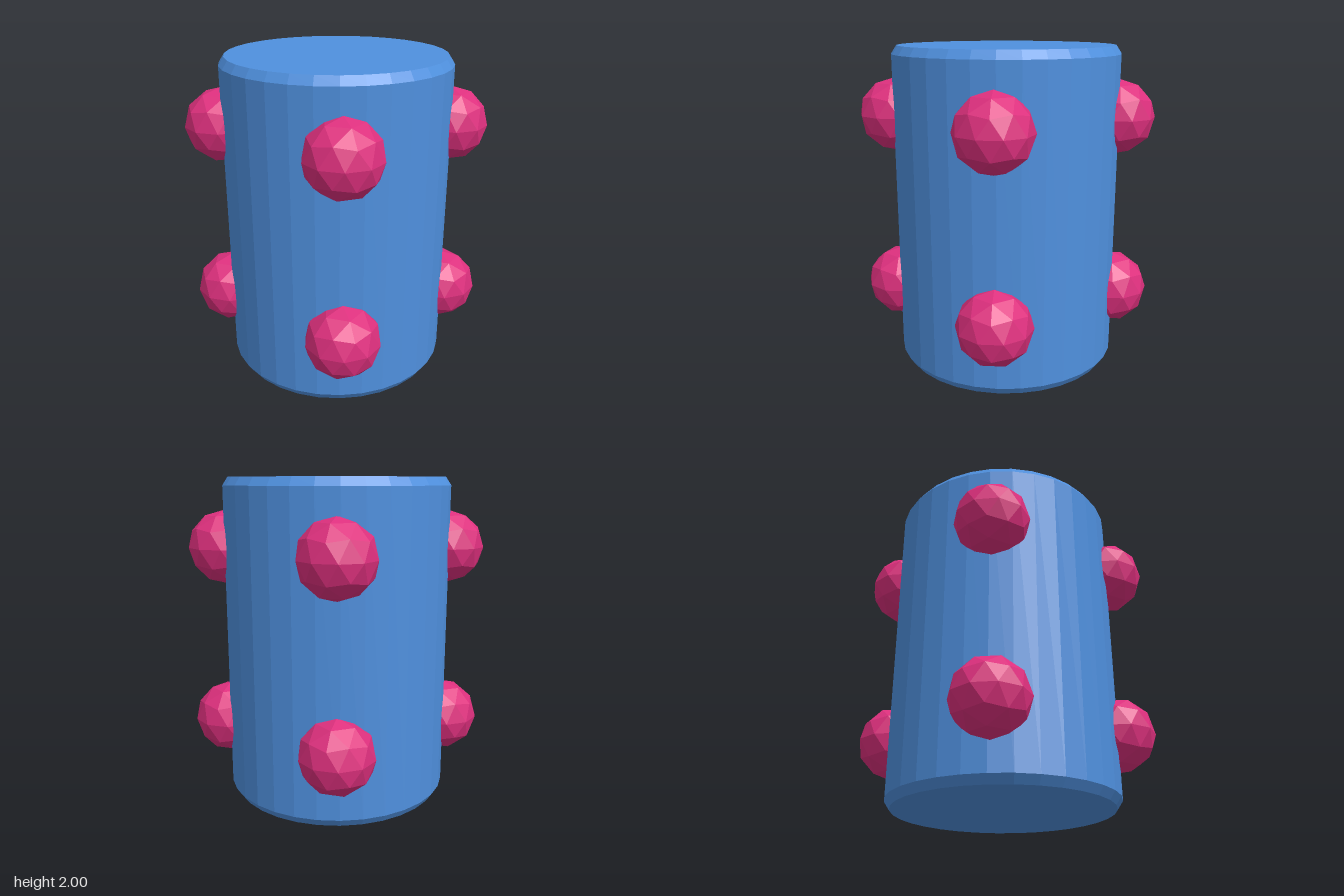
import * as THREE from 'three';

// Split shared vertices so every face is flat
function faceted(geometry) {
  const flat = geometry.index ? geometry.toNonIndexed() : geometry;
  flat.computeVertexNormals();
  return flat;
}

export function createModel() {
  const blue = new THREE.MeshStandardMaterial({ color: 0x4f90de });
  blue.name = 'blue';
  const pink = new THREE.MeshStandardMaterial({ color: 0xde307e });
  pink.name = 'pink';

  const model = new THREE.Group();
  model.name = 'studdedDrum';

  // Drum with bevelled rims
  const profile = [[0, 0], [0.667, 0], [0.7, 0.05], [0.7, 1.95], [0.667, 2], [0, 2]]
    .map(([r, y]) => new THREE.Vector2(r, y));
  const drum = new THREE.Mesh(faceted(new THREE.LatheGeometry(profile, 32)), blue);
  drum.name = 'drum';
  drum.position.z = -0.007;
  model.add(drum);

  // Faceted ball, turned so that one corner points straight up
  const ball = new THREE.IcosahedronGeometry(0.23, 1);
  ball.rotateZ(-Math.atan(2 / (1 + Math.sqrt(5))));
  const studGeometry = faceted(ball);

  // Two rings of four studs
  const spots = [['front', 0.018, 0.69], ['back', 0.018, -0.695], ['left', 0.7, 0.006], ['right', -0.7, 0.006]];
  for (const [row, y] of [['lower', 0.45], ['upper', 1.57]]) {
    for (const [side, x, z] of spots) {
      const stud = new THREE.Mesh(studGeometry, pink);
      stud.name = `${row} ${side} stud`;
      stud.position.set(x, y, z);
      model.add(stud);
    }
  }
  return model;
}
